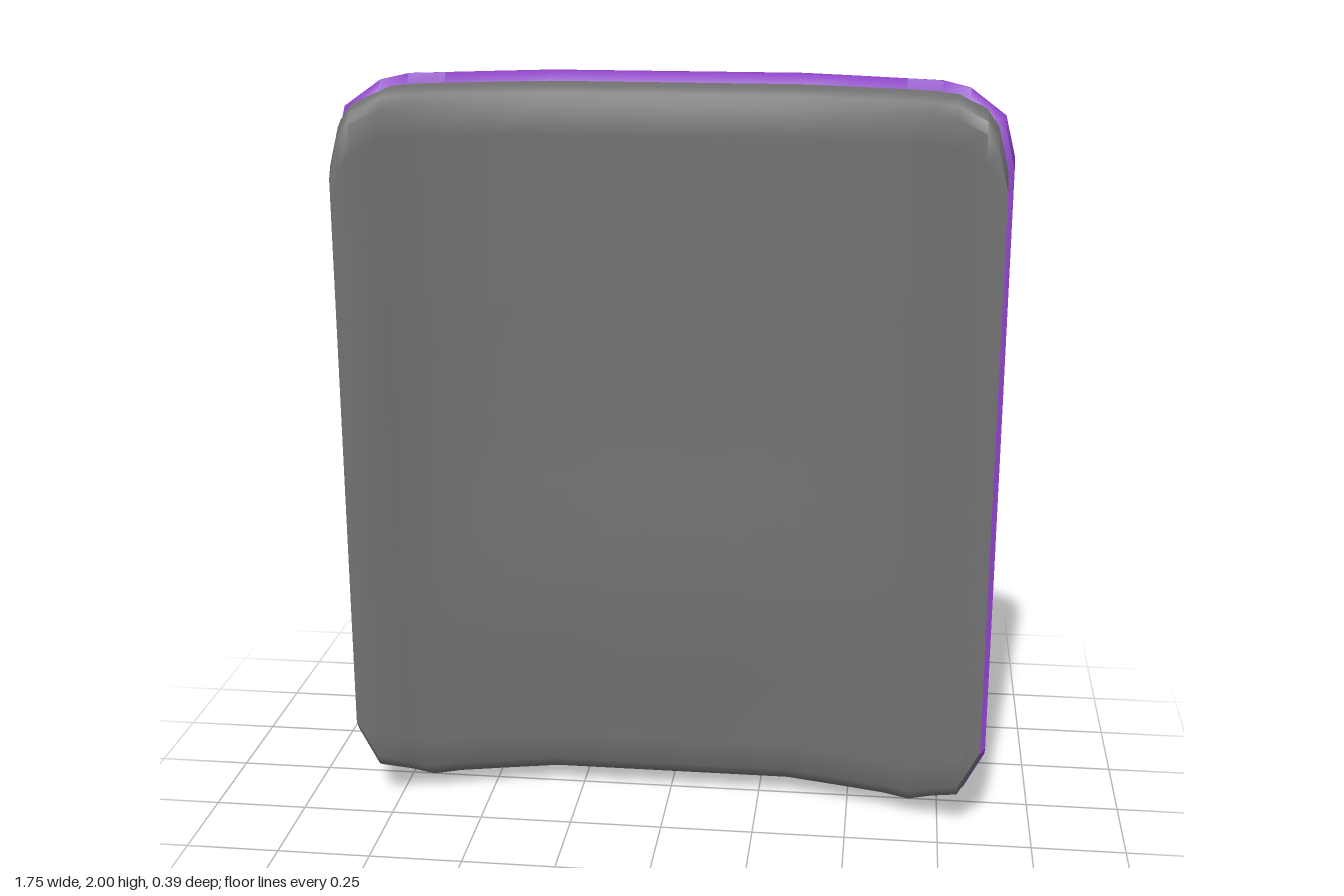
import * as THREE from 'three';
import { toCreasedNormals } from 'three/addons/utils/BufferGeometryUtils.js';

// Skin a row of equal-length closed loops and cap both ends
function loft(sections, crease) {
  const n = sections[0].length, pos = [], idx = [];
  sections.forEach(s => s.forEach(p => pos.push(...p)));
  for (let i = 0; i < sections.length - 1; i++) {
    for (let j = 0; j < n; j++) {
      const k = (j + 1) % n;
      const a = i * n + j, b = a + n, c = (i + 1) * n + k, d = i * n + k;
      idx.push(a, b, c, a, c, d);
    }
  }
  const e = (sections.length - 1) * n;
  for (let j = 1; j < n - 1; j++) idx.push(0, j, j + 1, e, e + j + 1, e + j);
  const g = new THREE.BufferGeometry();
  g.setAttribute('position', new THREE.Float32BufferAttribute(pos, 3));
  g.setIndex(idx);
  return toCreasedNormals(g, crease);
}

// Piecewise-linear lookup in a list of [key, value]
function lerpTable(table, t) {
  for (let i = 1; i < table.length; i++) {
    const [x0, v0] = table[i - 1], [x1, v1] = table[i];
    if (t <= x1) return v0 + (v1 - v0) * (t - x0) / (x1 - x0);
  }
  return table[table.length - 1][1];
}

// Mirror the positive x stations to span the whole width
const mirrored = xs => [...xs.slice().reverse().map(x => -x), ...xs];

// Depth of the curved panel by distance from the centre line
const shellBack = [[0, -0.155], [0.33, -0.155], [0.47, -0.11], [0.76, -0.01], [0.875, 0.018]];
const shellFront = [[0, -0.1], [0.34, -0.1], [0.6, -0.027], [0.8, 0.055], [0.875, 0.066]];
const padFront = [[0, 0.032], [0.33, 0.032], [0.47, 0.065], [0.6, 0.097], [0.73, 0.152], [0.8, 0.195], [0.855, 0.195]];

// Top and bottom outlines with clipped corners
const shellTop = [[0, 2], [0.74, 2], [0.85, 1.92], [0.875, 1.82]];
const shellBottom = [[0, 0], [0.69, 0], [0.82, 0.06], [0.875, 0.17]];
const padTop = [[0, 1.975], [0.72, 1.975], [0.8, 1.94], [0.83, 1.9], [0.855, 1.8]];
const padBottom = [[0, 0.03], [0.67, 0.03], [0.8, 0.085], [0.855, 0.19]];

function shellSection(x) {
  const u = Math.abs(x);
  const b = lerpTable(shellBack, u), f = lerpTable(shellFront, u);
  const y0 = lerpTable(shellBottom, u), y1 = lerpTable(shellTop, u);
  return [
    [y0 + 0.08, b], [y0 + 0.015, b + 0.003], [y0, b + 0.015], [y0, f - 0.025], [y0 + 0.03, f],
    [y1 - 0.03, f], [y1, f - 0.025], [y1, b + 0.012], [y1 - 0.012, b], [y1 - 0.08, b],
  ].map(([y, z]) => [x, y, z]);
}

// Gentle lumbar swelling in the lower half of the cushion
const bulge = (u, y) => 0.025 * lerpTable([[0, 1], [0.33, 1], [0.72, 0]], u)
  * Math.exp(-(((y - 0.62) / 0.33) ** 2));

function padSection(x) {
  const u = Math.abs(x);
  const b = lerpTable(shellFront, u) - 0.01, f = lerpTable(padFront, u);
  const y0 = lerpTable(padBottom, u), y1 = lerpTable(padTop, u);
  const face = [y0 + 0.13, 0.35, 0.48, 0.62, 0.76, 0.9, 1.1, 1.4, y1 - 0.12]
    .map(y => [y, f + bulge(u, y)]);
  return [
    [y0, b], [y0 + 0.008, f - 0.05], [y0 + 0.025, f - 0.02], [y0 + 0.055, f],
    ...face,
    [y1 - 0.045, f], [y1 - 0.015, f - 0.015], [y1, f - 0.045], [y1, b],
  ].map(([y, z]) => [x, y, z]);
}

// Rib cross-sections rise from the shell and fade out towards the top
const ribHeights = [[0.003, 0.025], [0.025, 0.043], [0.6, 0.045], [1.15, 0.044],
  [1.32, 0.037], [1.5, 0.022], [1.66, 0]];
const ribSection = ([y, h]) => [
  [-0.036, -0.14], [-0.034, -0.154 - h * 0.5], [-0.022, -0.154 - h],
  [0.022, -0.154 - h], [0.034, -0.154 - h * 0.5], [0.036, -0.14],
].map(([x, z]) => [x, y, z]);

export function createModel() {
  const group = new THREE.Group();
  const purple = new THREE.MeshStandardMaterial({ color: 0x8a3fc4 });
  const grey = new THREE.MeshStandardMaterial({ color: 0x707070 });
  const add = (name, geometry, material) => {
    const mesh = new THREE.Mesh(geometry, material);
    mesh.name = name;
    group.add(mesh);
    return mesh;
  };

  // Curved rear shell
  const shellX = mirrored([0.33, 0.47, 0.6, 0.69, 0.76, 0.82, 0.85, 0.875]);
  add('backShell', loft(shellX.map(shellSection), 0.9), purple);

  // Front cushion
  const padX = mirrored([0.17, 0.33, 0.47, 0.6, 0.67, 0.73, 0.8, 0.83, 0.855]);
  add('cushion', loft(padX.map(padSection), 0.9), grey);

  // Two upright stiffening ribs on the rear
  for (const [name, x] of [['leftRib', 0.255], ['rightRib', -0.273]]) {
    add(name, loft(ribHeights.map(ribSection), 0.9), purple).position.x = x;
  }
  return group;
}
